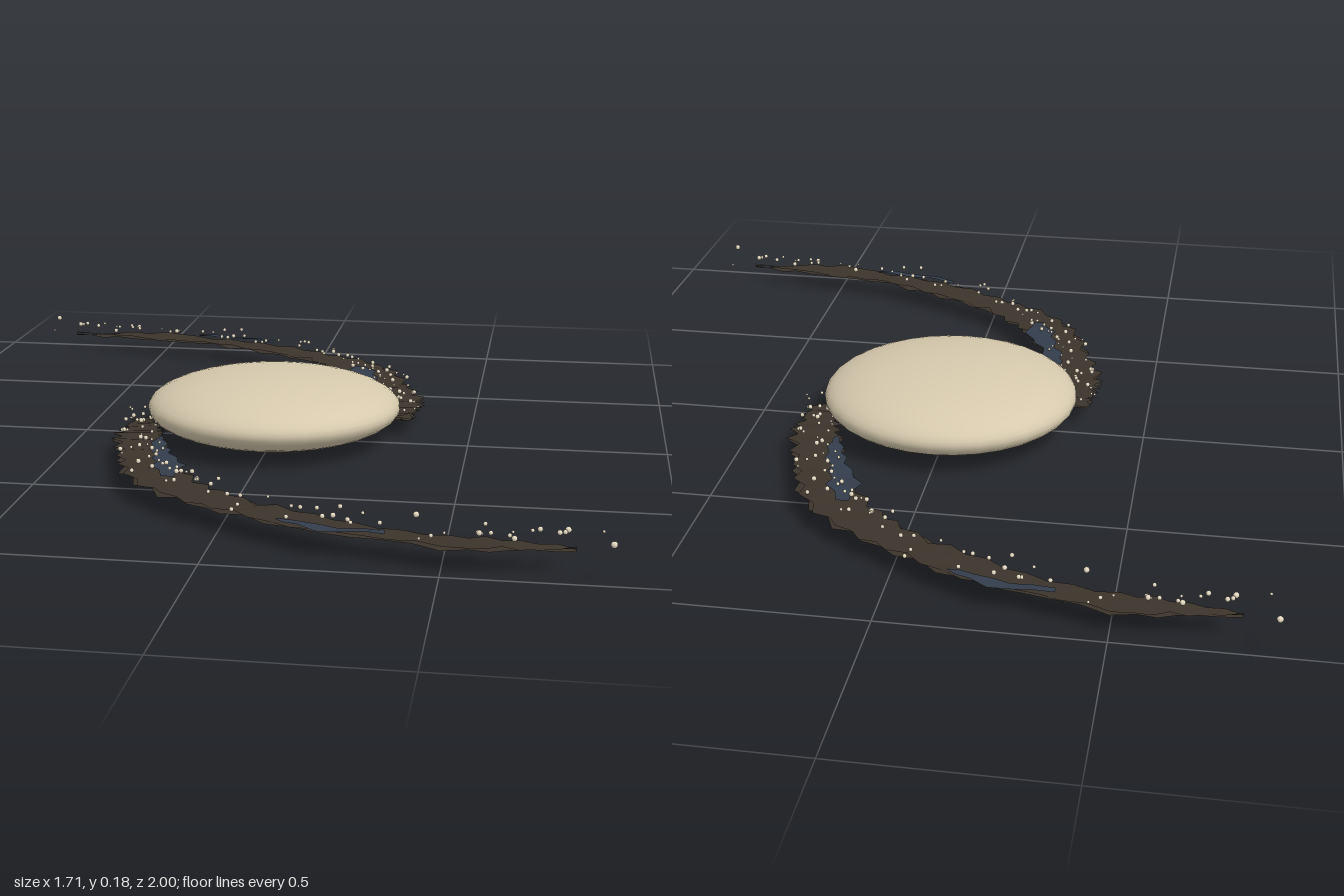
import * as THREE from 'three';
import { mergeGeometries } from 'three/addons/utils/BufferGeometryUtils.js';

const coreMat = new THREE.MeshStandardMaterial({ color: 0xd6c9ad });
const dustMat = new THREE.MeshStandardMaterial({ color: 0x3b342b, side: THREE.DoubleSide });
const blueMat = new THREE.MeshStandardMaterial({ color: 0x333c4b, side: THREE.DoubleSide });
const starMat = new THREE.MeshStandardMaterial({ color: 0xeadfc6 });
coreMat.name = 'warm core';
dustMat.name = 'dark dust';
blueMat.name = 'blue dust';
starMat.name = 'pale star';

// Seeded random numbers
function makeRandom(seed) {
  return () => {
    seed = (seed * 16807) % 2147483647;
    return seed / 2147483647;
  };
}

// Centre line of one arm as [x, z, half width]
const ARM = [
  [0.334, -0.05, 0.018], [0.315, -0.14, 0.042], [0.303, -0.235, 0.056], [0.258, -0.38, 0.054],
  [0.2, -0.535, 0.062], [0.1, -0.655, 0.056], [-0.01, -0.735, 0.045], [-0.17, -0.825, 0.047],
  [-0.35, -0.89, 0.032], [-0.53, -0.927, 0.04], [-0.65, -0.927, 0.022], [-0.775, -0.93, 0.001],
];

const curveOf = (points) =>
  new THREE.CatmullRomCurve3(points.map(([x, z, w]) => new THREE.Vector3(x, w, z)));

// Flat ribbon with a saw-toothed outline, its teeth longer and shallower towards the tip
function ribbon(points, y, steps, tooth, seed) {
  const rand = makeRandom(seed);
  const curve = curveOf(points);
  const pos = [], index = [];
  for (let i = 0; i <= steps; i++) {
    const t = Math.pow(i / steps, 1.3);
    const p = curve.getPoint(t), d = curve.getTangent(t);
    const n = new THREE.Vector2(-d.z, d.x).normalize();
    const calm = tooth * (1 - 0.5 * t);
    for (const side of [-1, 1]) {
      const jag = ((i % 2) * 2 - 1) * calm + (rand() - 0.5) * tooth * 0.5;
      const w = Math.max(p.y, 0.001) * (1 + jag) * side;
      pos.push(p.x + n.x * w, y + (rand() - 0.5) * 0.008, p.z + n.y * w);
    }
    if (i < steps) {
      const a = i * 2;
      index.push(a, a + 1, a + 2, a + 1, a + 3, a + 2);
    }
  }
  const geo = new THREE.BufferGeometry();
  geo.setAttribute('position', new THREE.Float32BufferAttribute(pos, 3));
  geo.setIndex(index);
  geo.computeVertexNormals();
  // Keep the lit side up
  if (geo.attributes.normal.getY(10) < 0) {
    geo.setIndex(index.reverse());
    geo.computeVertexNormals();
  }
  return geo;
}

// Small stars scattered above the arm, plus a few strays past its tip
function starField() {
  const rand = makeRandom(71);
  const curve = curveOf(ARM);
  const geos = [];
  const add = (x, y, z, r) => geos.push(new THREE.SphereGeometry(r, 8, 6).translate(x, y, z));
  for (let i = 0; i < 90; i++) {
    const p = curve.getPoint(Math.pow(rand(), 1.3));
    const spread = 0.02 + p.y;
    add(p.x + (rand() + rand() - 1) * spread, 0.066 + rand() * 0.022,
      p.z + (rand() + rand() - 1) * spread, 0.003 + rand() * 0.0035);
  }
  add(-0.848, 0.086, -0.992, 0.0075);
  add(-0.83, 0.073, -0.87, 0.0035);
  add(-0.757, 0.086, -0.91, 0.007);
  add(-0.44, 0.086, -0.857, 0.007);
  return mergeGeometries(geos);
}

export function createModel() {
  const model = new THREE.Group();

  // Flattened central bulge
  const core = new THREE.Mesh(new THREE.SphereGeometry(1, 32, 24), coreMat);
  core.name = 'core';
  core.scale.set(0.325, 0.0885, 0.325);
  core.position.y = 0.0885;
  model.add(core);

  const parts = [
    ['upperDust', ribbon(ARM, 0.054, 46, 0.24, 11), dustMat],
    ['lowerDust', ribbon(ARM, 0.048, 39, 0.24, 29), dustMat],
    ['innerBlueDust', ribbon([[0.245, -0.25, 0.004], [0.23, -0.33, 0.02], [0.2, -0.42, 0.022],
      [0.168, -0.5, 0.036], [0.155, -0.585, 0.014]], 0.062, 11, 0.35, 5), blueMat],
    ['outerBlueDust', ribbon([[-0.14, -0.86, 0.006], [-0.22, -0.896, 0.014], [-0.3, -0.909, 0.014],
      [-0.38, -0.912, 0.004]], 0.062, 6, 0.2, 17), blueMat],
    ['stars', starField(), starMat],
  ];

  // Two arms, half a turn apart
  ['backArm', 'frontArm'].forEach((name, i) => {
    const arm = new THREE.Group();
    arm.name = name;
    for (const [partName, geo, mat] of parts) {
      const mesh = new THREE.Mesh(geo, mat);
      mesh.name = partName;
      arm.add(mesh);
    }
    arm.rotation.y = i * Math.PI;
    model.add(arm);
  });
  return model;
}
